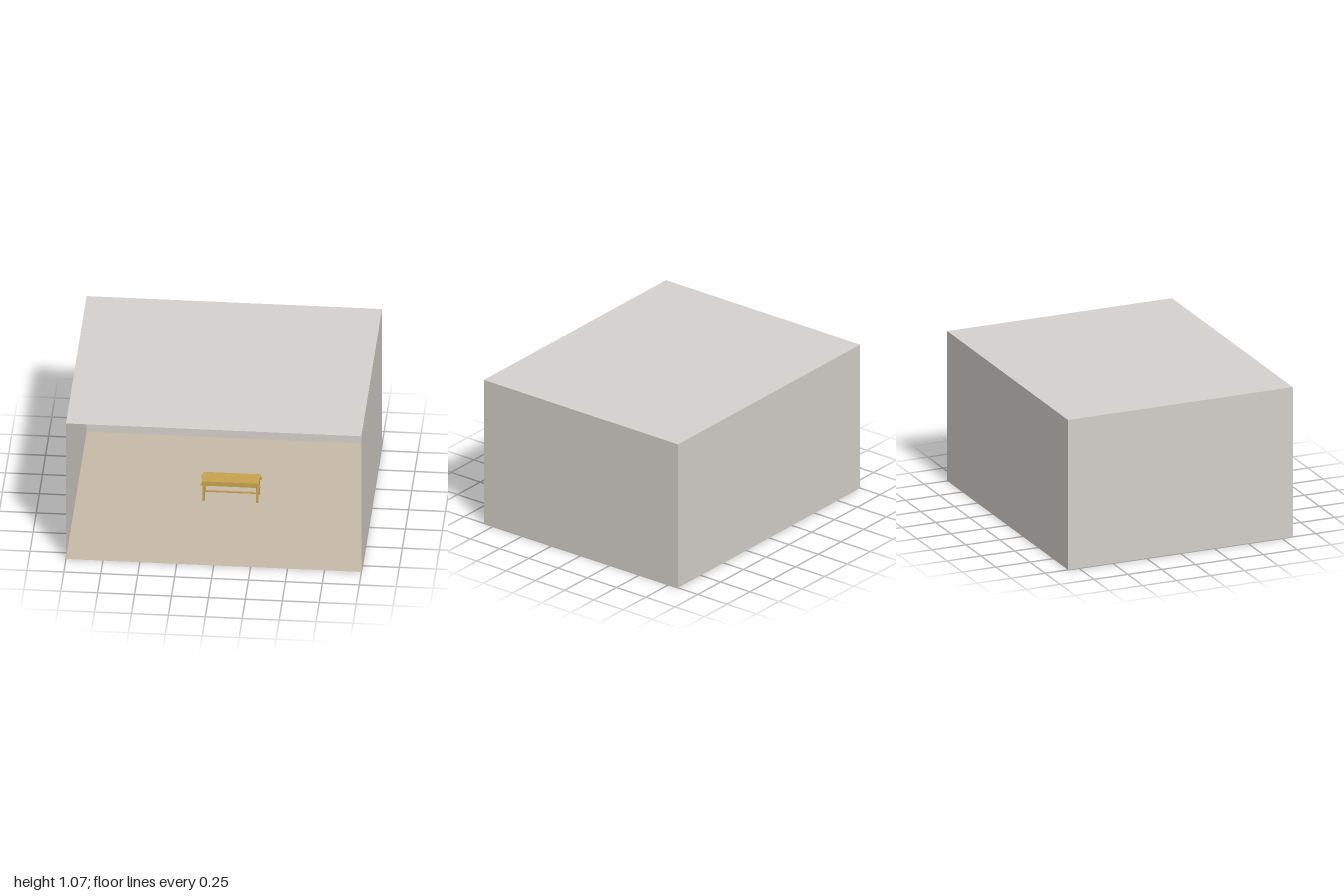
import * as THREE from 'three';

const W = 2, H = 1.07, D = 1.66;

function material(name, color, side = THREE.FrontSide) {
  const m = new THREE.MeshStandardMaterial({ color, side });
  m.name = name;
  return m;
}

// Thin open panel of the room
function panel(name, w, h, mat, position, rotation = [0, 0, 0]) {
  const mesh = new THREE.Mesh(new THREE.PlaneGeometry(w, h), mat);
  mesh.name = name;
  mesh.position.set(...position);
  mesh.rotation.set(...rotation);
  return mesh;
}

// Box given by its centre and size
function box(name, size, position, mat) {
  const mesh = new THREE.Mesh(new THREE.BoxGeometry(...size), mat);
  mesh.name = name;
  mesh.position.set(...position);
  return mesh;
}

function createRoom() {
  const wall = material('wall plaster', 0xd2cdc8, THREE.DoubleSide);
  const top = material('ceiling plaster', 0xd3d0cd, THREE.DoubleSide);
  const ground = material('floor tan', 0xc5baa9, THREE.DoubleSide);
  const room = new THREE.Group();
  room.name = 'room';
  room.add(
    panel('floor', W, D, ground, [0, 0, 0], [-Math.PI / 2, 0, 0]),
    panel('ceiling', W, D, top, [0, H, 0], [Math.PI / 2, 0, 0]),
    panel('backWall', W, H, wall, [0, H / 2, -D / 2]),
    panel('leftWall', D, H, wall, [W / 2, H / 2, 0], [0, -Math.PI / 2, 0]),
    panel('rightWall', D, H, wall, [-W / 2, H / 2, 0], [0, Math.PI / 2, 0])
  );
  return room;
}

function createBench() {
  const wood = material('bench wood', 0xc5a24e);
  const bench = new THREE.Group();
  bench.name = 'bench';
  // Seat board
  bench.add(box('seat', [0.386, 0.022, 0.125], [0, 0.144, 0], wood));
  for (const z of [-0.053, 0.053]) {
    // Long rails poke out past the seat ends
    bench.add(box('seatRail', [0.406, 0.014, 0.014], [0, 0.127, z], wood));
    for (const x of [-0.182, 0.182])
      bench.add(box('leg', [0.016, 0.133, 0.016], [x, 0.0675, z], wood));
  }
  // End rails and low stretchers joined by a middle bar
  for (const x of [-0.182, 0.182]) {
    bench.add(box('endRail', [0.012, 0.014, 0.1], [x, 0.127, 0], wood));
    bench.add(box('endStretcher', [0.01, 0.012, 0.1], [x, 0.044, 0], wood));
  }
  bench.add(box('middleStretcher', [0.36, 0.009, 0.012], [0, 0.044, 0], wood));
  bench.position.set(0.043, 0, -0.06);
  return bench;
}

export function createModel() {
  const model = new THREE.Group();
  model.name = 'openRoomWithBench';
  model.add(createRoom(), createBench());
  return model;
}
